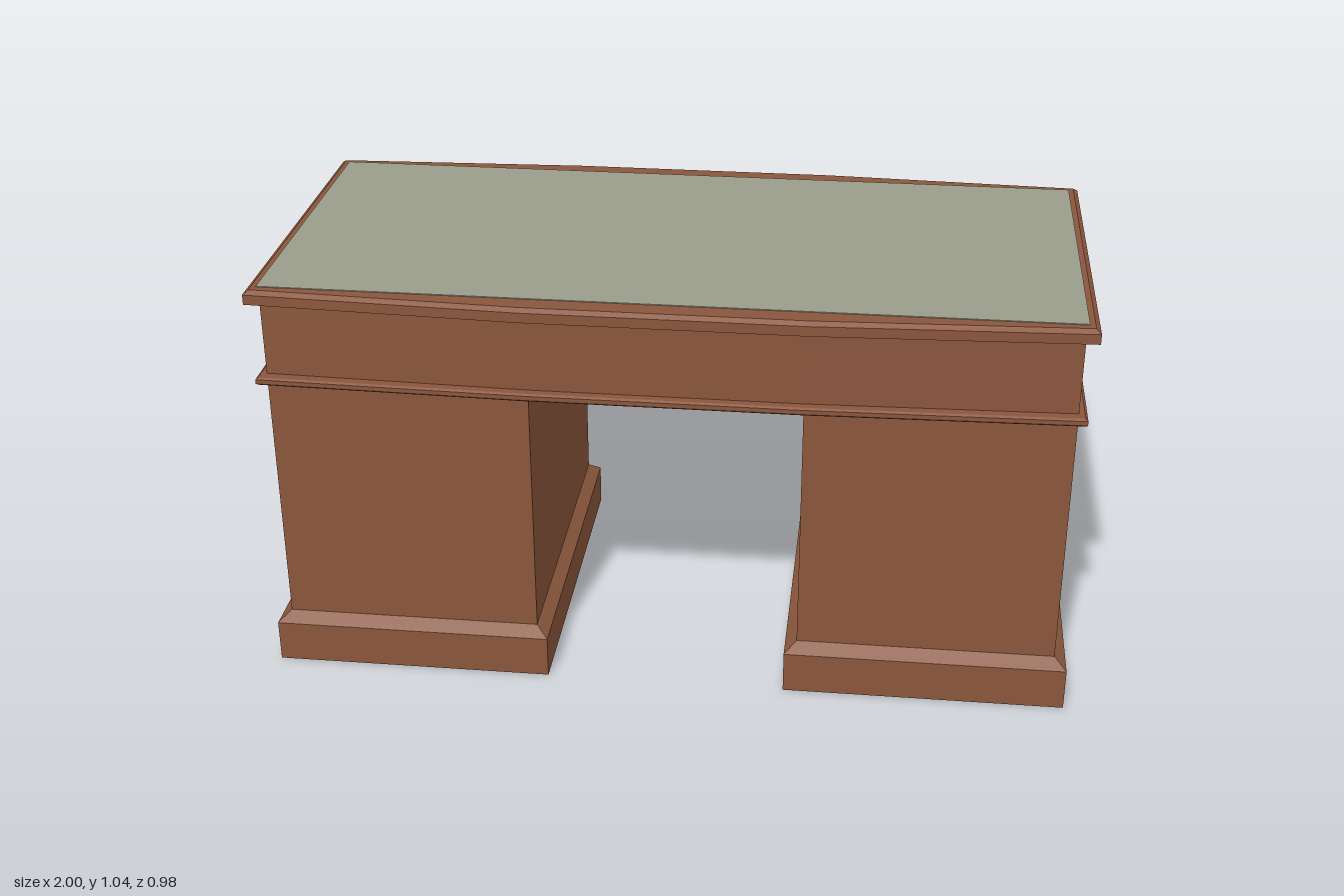
import * as THREE from 'three';

const wood = new THREE.MeshStandardMaterial({ color: 0x8a563c, flatShading: true });
const leather = new THREE.MeshStandardMaterial({ color: 0x9a9c8b });
const metal = new THREE.MeshStandardMaterial({ color: 0x8f9294, flatShading: true });

// Plan outline, counter-clockwise from above; bows push the middle of the long sides outward
function outline(x0, x1, zBack, zFront, bowBack = 0, bowFront = 0) {
  const a = x0 + (x1 - x0) * 0.33, b = x1 - (x1 - x0) * 0.33;
  const pts = [[x0, zFront]];
  if (bowFront) pts.push([a, zFront + bowFront], [b, zFront + bowFront]);
  pts.push([x1, zFront], [x1, zBack]);
  if (bowBack) pts.push([b, zBack - bowBack], [a, zBack - bowBack]);
  pts.push([x0, zBack]);
  return pts;
}

// Solid made from outlines stacked at given heights: levels = [[y, outline], ...]
function stack(levels) {
  const pos = [];
  const n = levels[0][1].length;
  const put = (l, i) => {
    const [x, z] = levels[l][1][i % n];
    pos.push(x, levels[l][0], z);
  };
  for (let l = 0; l < levels.length - 1; l++) {
    for (let i = 0; i < n; i++) {
      put(l, i); put(l, i + 1); put(l + 1, i + 1);
      put(l, i); put(l + 1, i + 1); put(l + 1, i);
    }
  }
  const top = levels.length - 1;
  for (let i = 1; i < n - 1; i++) {
    put(top, 0); put(top, i); put(top, i + 1);
    put(0, 0); put(0, i + 1); put(0, i);
  }
  const g = new THREE.BufferGeometry();
  g.setAttribute('position', new THREE.Float32BufferAttribute(pos, 3));
  g.computeVertexNormals();
  return g;
}

function part(parent, name, geometry, material) {
  const m = new THREE.Mesh(geometry, material);
  m.name = name;
  parent.add(m);
  return m;
}

// Raised drawer front on the back face, with a narrow chamfer
function drawerGeometry(w, h, depth) {
  const c = 0.004;
  const o = (d) => outline(-w / 2 + d, w / 2 - d, -h / 2 + d, h / 2 - d);
  return stack([[0, o(0)], [depth - c, o(0)], [depth, o(c)]]).rotateX(-Math.PI / 2);
}

// Rectangular drop pull with a small hinge block
function makeHandle() {
  const handle = new THREE.Group();
  handle.name = 'handle';
  const s = new THREE.Shape([[-0.046, -0.033], [0.046, -0.033], [0.046, 0.027], [-0.046, 0.027]]
    .map(([x, y]) => new THREE.Vector2(x, y)));
  s.holes.push(new THREE.Path([[-0.032, -0.02], [-0.032, 0.014], [0.032, 0.014], [0.032, -0.02]]
    .map(([x, y]) => new THREE.Vector2(x, y))));
  const ring = new THREE.ExtrudeGeometry(s, { depth: 0.008, bevelEnabled: false });
  part(handle, 'handleRing', ring, metal).position.z = -0.484;
  const hinge = part(handle, 'handleHinge', new THREE.BoxGeometry(0.022, 0.03, 0.015), metal);
  hinge.position.set(0, 0.021, -0.482);
  return handle;
}

export function createModel() {
  const desk = new THREE.Group();
  desk.name = 'pedestalDesk';

  // Pedestals on chamfered plinths
  for (const s of [1, -1]) {
    const side = s > 0 ? 'left' : 'right';
    const span = (a, b) => (s > 0 ? [a, b] : [-b, -a]);
    const foot = outline(...span(0.3, 1), -0.453, 0.46);
    const body = outline(...span(0.33, 0.97), -0.425, 0.43);
    part(desk, side + 'Plinth', stack([[0, foot], [0.107, foot], [0.131, body]]), wood);
    part(desk, side + 'Pedestal', stack([[0.131, body], [0.79, body]]), wood);
  }

  // Apron with a bowed front
  const apron = outline(-0.97, 0.97, -0.425, 0.43, 0, 0.02);
  part(desk, 'apron', stack([[0.8, apron], [1.0, apron]]), wood);

  // Thin waist moulding
  const waist = (d) => outline(-0.99 + d, 0.99 - d, -0.453 + d, 0.46 - d, 0.016, 0.016);
  part(desk, 'waistMoulding',
    stack([[0.788, waist(0.004)], [0.792, waist(0)], [0.803, waist(0)], [0.807, waist(0.006)]]), wood);

  // Bowed top with a chamfered rim and writing surface
  const top = (d) => outline(-1 + d, 1 - d, -0.457 + d, 0.46 - d, 0.029, 0.03);
  part(desk, 'top', stack([[1.0, top(0)], [1.025, top(0)], [1.034, top(0.012)]]), wood);
  const pad = part(desk, 'writingSurface', new THREE.BoxGeometry(1.95, 0.004, 0.86), leather);
  pad.position.y = 1.034;

  // Drawers: [centre x, width, y bottom, y top, thickness, handle x, handle y]
  const drawers = [[0, 0.62, 0.827, 0.98, 0.018, -0.005, 0.937]];
  for (const [x, hx] of [[0.655, 0.64], [-0.655, -0.655]]) {
    drawers.push(
      [x, 0.58, 0.827, 0.98, 0.018, hx, 0.937],
      [x, 0.58, 0.615, 0.77, 0.016, hx, 0.71],
      [x, 0.58, 0.37, 0.577, 0.016, hx, 0.505],
      [x, 0.58, 0.15, 0.33, 0.015, hx, 0.24]);
  }
  for (const [x, w, y0, y1, depth, hx, hy] of drawers) {
    const d = part(desk, 'drawer', drawerGeometry(w, y1 - y0, depth), wood);
    d.position.set(x, (y0 + y1) / 2, -0.425);
    const handle = makeHandle();
    handle.position.set(hx, hy, 0);
    desk.add(handle);
  }
  return desk;
}
